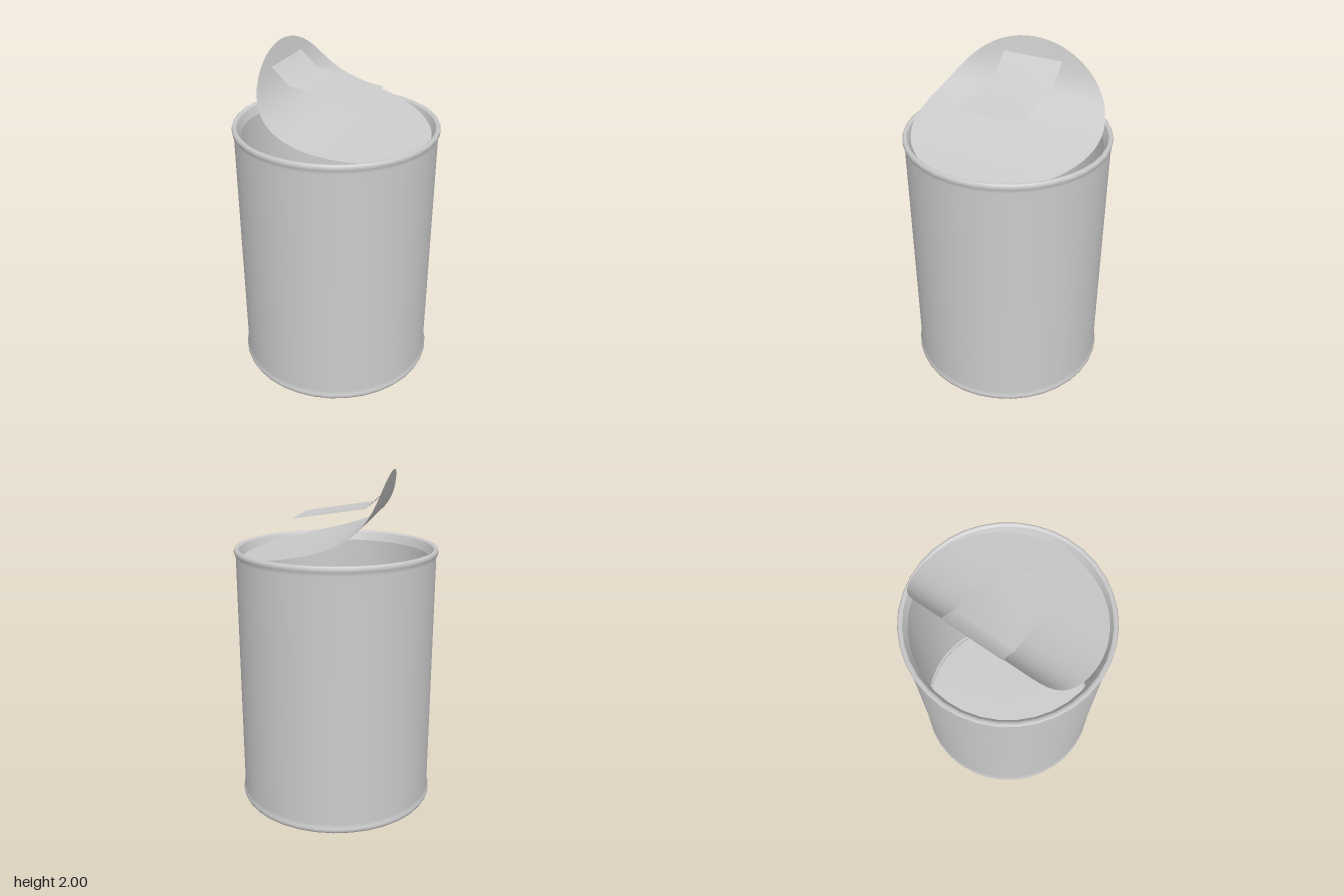
import * as THREE from 'three';

const R = 0.545; // lid radius

// Bends a flat geometry so its x axis follows a profile curve and its y axis becomes depth
function bend(geometry, curve, length) {
  const p = geometry.attributes.position;
  for (let i = 0; i < p.count; i++) {
    const t = THREE.MathUtils.clamp(0.5 - p.getX(i) / length, 0, 1);
    const c = curve.getPointAt(t);
    p.setXYZ(i, c.x, c.y, -p.getY(i));
  }
  geometry.computeVertexNormals();
  return geometry;
}

const points = (list) => list.map(([x, y]) => new THREE.Vector2(x, y));

export function createModel() {
  const group = new THREE.Group();
  const material = new THREE.MeshStandardMaterial({ color: 0xcccccc, side: THREE.DoubleSide });
  const add = (name, geometry) => {
    const mesh = new THREE.Mesh(geometry, material);
    mesh.name = name;
    group.add(mesh);
    return mesh;
  };

  // Can wall with a flared bead at both ends
  add('canWall', new THREE.LatheGeometry(points([
    [0.572, 0.012], [0.58, 0], [0.59, 0.004], [0.595, 0.018], [0.593, 0.032], [0.584, 0.055],
    [0.584, 1.505], [0.593, 1.528], [0.595, 1.542], [0.59, 1.556], [0.58, 1.56], [0.567, 1.55],
  ]), 36));

  // Sloping lip inside the top rim, left behind by the opened lid
  add('innerLip', new THREE.LatheGeometry(points([[0.567, 1.55], [R, 1.5]]), 36));

  // Closed base
  const base = add('base', new THREE.CircleGeometry(0.572, 36));
  base.rotation.x = Math.PI / 2;
  base.position.y = 0.012;

  // Round lid peeled back and curling upward
  const lidCurve = new THREE.SplineCurve(points([
    [R, 1.5], [0.25, 1.557], [0, 1.615], [-0.17, 1.69], [-0.27, 1.81], [-0.33, 2],
  ]));
  add('peeledLid', bend(new THREE.RingGeometry(0.001, R, 64, 16), lidCurve, 2 * R));

  // Pull tab: a folded strip fixed near the raised edge of the lid
  const tab = new THREE.PlaneGeometry(1, 0.37, 2, 1);
  const fold = [[-0.307, 1.9], [-0.2, 1.8], [0.215, 1.735]];
  const p = tab.attributes.position;
  for (let i = 0; i < p.count; i++) {
    const [x, y] = fold[Math.round((p.getX(i) + 0.5) * 2)];
    p.setXYZ(i, x, y, -p.getY(i));
  }
  tab.computeVertexNormals();
  add('pullTab', tab);

  return group;
}
